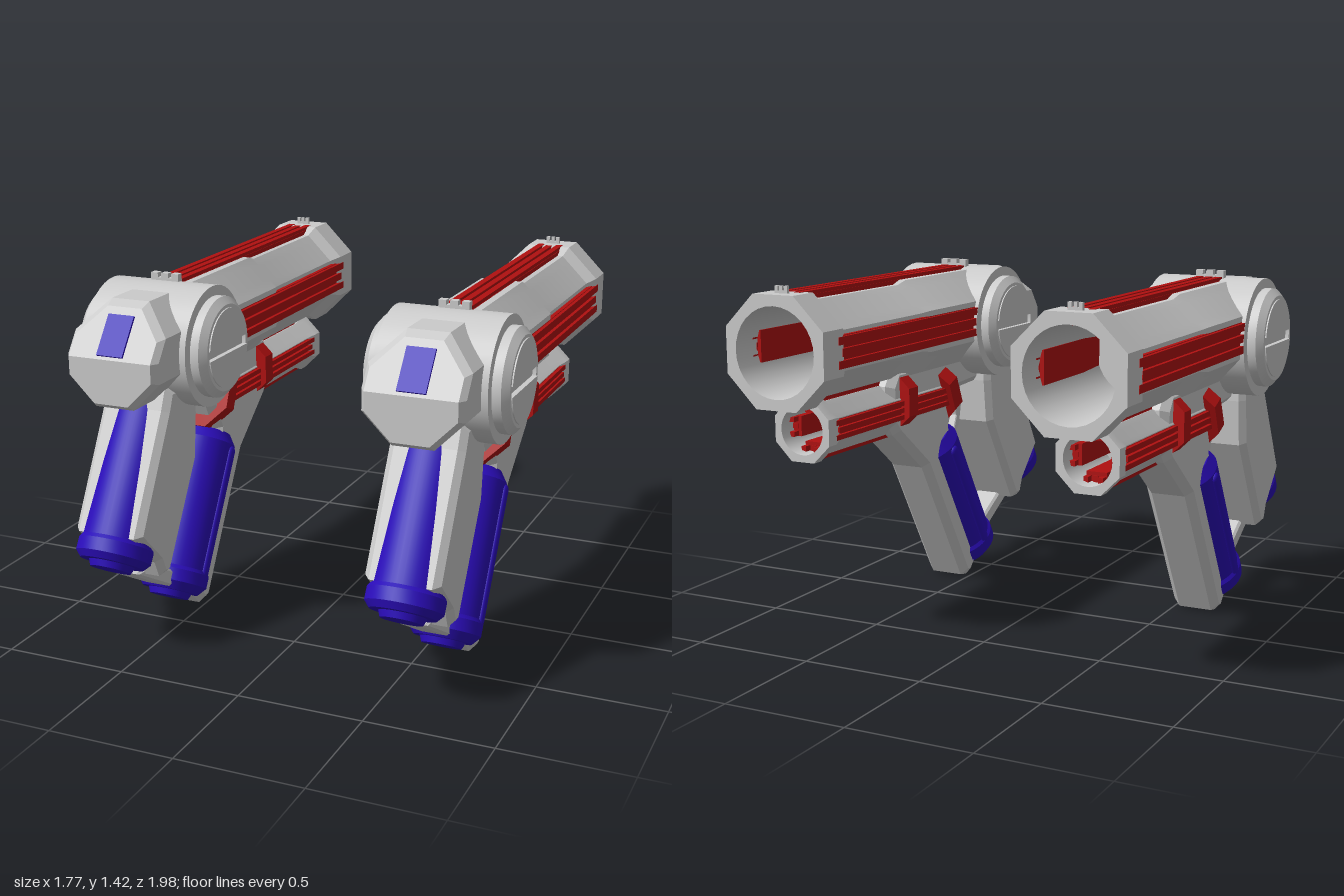
import * as THREE from 'three';
import { toCreasedNormals } from 'three/addons/utils/BufferGeometryUtils.js';

const grey = new THREE.MeshStandardMaterial({ color: 0xcccccc });
const red = new THREE.MeshStandardMaterial({ color: 0xb01010 });
const blue = new THREE.MeshStandardMaterial({ color: 0x2a0cb8 });

function add(parent, name, geometry, material, x = 0, y = 0, z = 0) {
  const mesh = new THREE.Mesh(geometry, material);
  mesh.name = name;
  mesh.position.set(x, y, z);
  parent.add(mesh);
  return mesh;
}
const box = (w, h, d) => new THREE.BoxGeometry(w, h, d);

// Ring of 32 points around (0, cy): an octagon of apothem r, or a circle
const N = 32;
function ring(r, z, cy, round = false, slope = 0) {
  return Array.from({ length: N }, (_, i) => {
    const t = (i / N) * Math.PI * 2;
    const q = ((t + Math.PI / 8) % (Math.PI / 4)) - Math.PI / 8;
    const rad = round ? r : r / Math.cos(q);
    const up = rad * Math.sin(t);
    return [rad * Math.cos(t), cy + up, z - Math.max(0, up) * slope];
  });
}

// Skin over rings running towards -z, closed by a fan at each end
function loft(rings, cy) {
  const pos = [];
  const tri = (...p) => p.forEach(v => pos.push(...v));
  const first = rings[0], last = rings[rings.length - 1];
  const start = [0, cy, first[0][2]], end = [0, cy, last[0][2]];
  for (let j = 0; j < N; j++) {
    const k = (j + 1) % N;
    tri(start, first[j], first[k]);
    for (let i = 0; i < rings.length - 1; i++) {
      const a = rings[i], b = rings[i + 1];
      tri(a[j], b[j], a[k]);
      tri(a[k], b[j], b[k]);
    }
    tri(last[j], end, last[k]);
  }
  const g = new THREE.BufferGeometry();
  g.setAttribute('position', new THREE.Float32BufferAttribute(pos, 3));
  return toCreasedNormals(g, 0.35);
}

// Side profile given as [z, y], extruded across x with chamfered edges
function plate(points, halfWidth, bevel) {
  const g = new THREE.ExtrudeGeometry(new THREE.Shape(points.map(p => new THREE.Vector2(...p))), {
    depth: 2 * (halfWidth - bevel), bevelEnabled: true, bevelSize: bevel,
    bevelThickness: bevel, bevelOffset: -bevel, bevelSegments: 1,
  });
  g.translate(0, 0, bevel - halfWidth);
  return g.rotateY(-Math.PI / 2);
}

function lathe(points) {
  return toCreasedNormals(new THREE.LatheGeometry(points.map(p => new THREE.Vector2(...p)), 40), 0.5);
}

// Ribbed strip along z, lying at radius r from the barrel axis
function strip(parent, name, w, z0, z1, angle, cy, r) {
  const s = new THREE.Group();
  s.name = name;
  s.position.y = cy;
  s.rotation.z = angle;
  const bar = (part, width, x, top, end) =>
    add(s, part, box(width, 0.05, z0 - end), red, x, top - 0.025, (z0 + end) / 2);
  bar('stripBase', w, 0, r - 0.014, z1 + 0.03);
  for (const i of [-1, 0, 1]) bar('stripRib', w * 0.24, i * w * 0.36, r, i ? z1 : z1 + 0.025);
  parent.add(s);
}

function buildBlaster() {
  const gun = new THREE.Group();
  gun.name = 'blaster';

  // Main barrel, flared muzzle and bore
  const my = 1.178;
  add(gun, 'mainBarrel', loft([
    ring(0.204, 0.4, my), ring(0.204, -0.2, my), ring(0.188, -0.25, my), ring(0.188, -0.82, my),
    ring(0.217, -0.87, my), ring(0.217, -1, my), ring(0.175, -1, my, true), ring(0.165, -0.4, my, true),
  ], my), grey);
  strip(gun, 'topStrip', 0.11, 0.35, -0.9, 0, my, 0.219);
  for (const s of [-1, 1]) strip(gun, 'sideStrip', 0.125, 0.3, -0.9, s * Math.PI / 2, my, 0.219);

  // Lower barrel with strips on four sides
  const ly = 0.858;
  add(gun, 'lowerBarrel', loft([
    ring(0.105, 0.1, ly), ring(0.105, -0.74, ly), ring(0.123, -0.79, ly), ring(0.123, -0.84, ly),
    ring(0.095, -0.84, ly, true), ring(0.09, -0.5, ly, true),
  ], ly), grey);
  for (let i = 0; i < 4; i++) {
    strip(gun, 'lowerStrip', 0.08, i % 2 ? 0.1 : -0.25, -0.79, i * Math.PI / 2, ly, 0.121);
  }

  // Drum across the body, with a slotted cap on each side
  const dy = 1.155, dz = 0.396;
  const drum = add(gun, 'drum', lathe([[0, -0.22], [0.24, -0.22], [0.24, 0.22], [0, 0.22]]), grey, 0, dy, dz);
  drum.rotation.z = Math.PI / 2;
  for (const s of [-1, 1]) {
    const cap = new THREE.Group();
    cap.name = 'drumCap';
    cap.position.set(s * 0.22, dy, dz);
    cap.rotation.z = -s * Math.PI / 2;
    add(cap, 'capRim', lathe([[0, 0], [0.2, 0], [0.2, 0.035], [0.172, 0.06], [0.155, 0.06], [0.155, 0.045], [0, 0.045]]), grey);
    for (const h of [0, Math.PI]) {
      const a = Math.asin(0.02 / 0.158);
      const half = new THREE.Shape().absarc(0, 0, 0.158, a, Math.PI - a, false);
      const g = new THREE.ExtrudeGeometry(half, { depth: 0.025, bevelEnabled: false, curveSegments: 24 });
      // the slot runs front to back
      g.rotateZ(Math.PI / 2 + h).rotateX(-Math.PI / 2);
      add(cap, 'capHalf', toCreasedNormals(g, 0.5), grey, 0, 0.04, 0);
    }
    gun.add(cap);
  }

  // Rear housing with slanted upper face and window
  const ry = 1.18;
  add(gun, 'rearHousing', loft([
    ring(0.175, 0.82, ry, false, 0.75), ring(0.195, 0.79, ry, false, 0.75), ring(0.195, 0.4, ry),
  ], ry), grey);
  add(gun, 'rearWindow', box(0.11, 0.17, 0.02), blue, 0, 1.258, 0.76).rotation.x = -0.6435;

  // Frame under the barrel running down the front grip
  add(gun, 'frame', plate([[0.4, 1.03], [0.4, 0.88], [0.22, 0.87], [0.14, 0.72], [0.37, 0.06], [0.31, 0],
    [0.26, 0.01], [-0.07, 0.57], [-0.3, 0.75], [-0.35, 0.81], [-0.35, 0.96], [-0.3, 1.03]], 0.1, 0.03), grey);

  // Rear grip shell with rounded back panel
  add(gun, 'rearGrip', plate([[0.62, 1.03], [0.655, 0.95], [0.9, 0.51], [0.75, 0.36], [0.72, 0.29], [0.66, 0.29],
    [0.42, 0.69], [0.4, 0.88], [0.4, 1.03]], 0.145, 0.025), grey);
  add(gun, 'rearGripBack', lathe([[0, -0.03], [0.08, -0.03], [0.09, -0.005], [0.125, -0.005], [0.147, 0.02],
    [0.147, 0.07], [0.138, 0.085], [0.138, 0.66], [0, 0.66]]), blue, 0, 0.385, 0.865).rotation.x = -0.563;

  // Front grip with a raised bar on each side
  const front = add(gun, 'frontGrip', lathe([[0, -0.03], [0.08, -0.03], [0.09, -0.005], [0.115, -0.005],
    [0.145, 0.03], [0.145, 0.08], [0.135, 0.095], [0.135, 0.64], [0.105, 0.685], [0.075, 0.7], [0, 0.71]]),
  blue, 0, 0.095, 0.425);
  front.rotation.x = -0.535;
  for (const s of [-1, 1]) {
    const bar = add(front, 'gripBar', new THREE.CapsuleGeometry(0.025, 0.52, 4, 12), blue, s * 0.132, 0.35, -0.01);
    bar.scale.x = 0.6;
  }

  // Link between the grips
  add(gun, 'gripLink', plate([[0.78, 0.31], [0.66, 0.31], [0.48, 0.21], [0.48, 0.14], [0.53, 0.16], [0.76, 0.29]], 0.06, 0.01), grey);

  // Trigger
  add(gun, 'trigger', plate([[0.35, 0.89], [0.365, 0.78], [0.345, 0.69], [0.3, 0.635], [0.29, 0.66],
    [0.32, 0.73], [0.305, 0.8], [0.235, 0.83], [0.23, 0.89]], 0.025, 0.004), grey);

  // Clamps around the lower barrel
  for (const [name, y, z, tilt, len] of [['frontClamp', 0.89, -0.25, 0, 0.14], ['rearClamp', 0.87, 0.105, -0.4, 0.15]]) {
    const g = new THREE.CylinderGeometry(1, 1, 0.07, 8).toNonIndexed();
    g.rotateY(Math.PI / 8).rotateX(Math.PI / 2);
    g.scale(0.145 / 0.924, len / 0.924, 1);
    g.computeVertexNormals();
    add(gun, name, g, red, 0, y, z).rotation.x = tilt;
  }

  // Sights
  for (const [name, half, z, depth] of [['rearSight', 0.06, 0.365, 0.03], ['frontSight', 0.028, -0.94, 0.014]]) {
    const sight = new THREE.Group();
    sight.name = name;
    add(sight, 'sightBase', box(2 * half, 0.02, depth), grey, 0, 1.395, z);
    for (const i of [-1, 0, 1]) {
      add(sight, 'sightPost', box(half * 0.5, 0.03, depth), grey, i * half * 0.75, 1.408, z);
    }
    gun.add(sight);
  }
  return gun;
}

export function createModel() {
  const model = new THREE.Group();
  model.name = 'blasterPair';
  const left = buildBlaster();
  const right = left.clone();
  left.name = 'leftBlaster';
  right.name = 'rightBlaster';
  left.position.x = 0.6;
  right.position.x = -0.6;
  model.add(left, right);
  return model;
}
